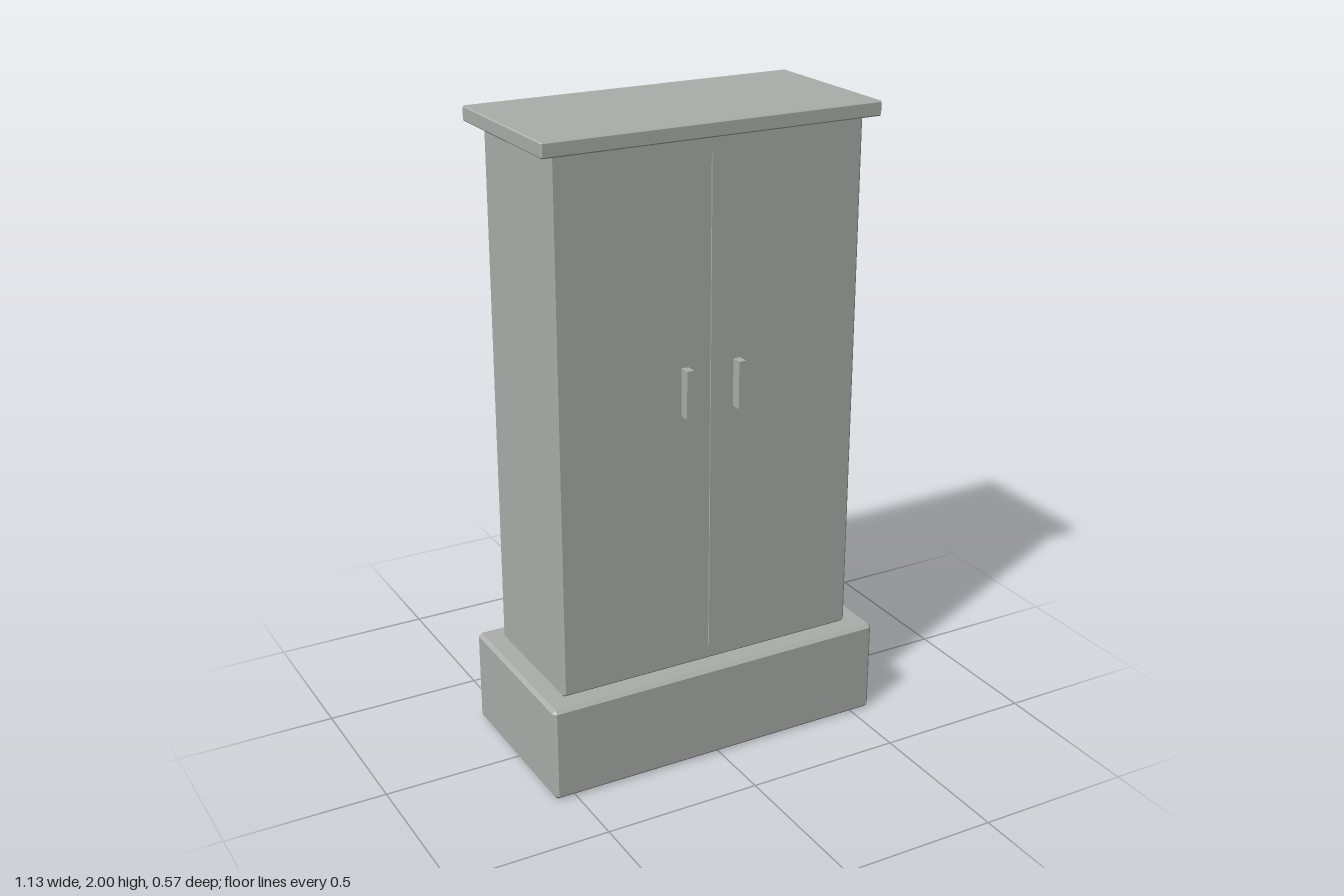
import * as THREE from 'three';
import { ConvexGeometry } from 'three/addons/geometries/ConvexGeometry.js';

// Box with flat chamfers on every edge, given by its min and max corners
function chamferedBox(min, max, c) {
  const points = [];
  const center = min.map((v, i) => (v + max[i]) / 2);
  const half = min.map((v, i) => (max[i] - v) / 2);
  for (const sx of [-1, 1]) for (const sy of [-1, 1]) for (const sz of [-1, 1]) {
    const s = [sx, sy, sz];
    // three points per corner, one on each adjoining face
    for (let face = 0; face < 3; face++) {
      points.push(new THREE.Vector3(
        ...s.map((sign, i) => center[i] + sign * (half[i] - (i === face ? 0 : c)))));
    }
  }
  return new ConvexGeometry(points);
}

export function createModel() {
  const model = new THREE.Group();
  model.name = 'cabinet';
  const paint = new THREE.MeshStandardMaterial({ color: 0xabaeaa });
  paint.name = 'grey paint';

  const add = (name, geometry) => {
    const mesh = new THREE.Mesh(geometry, paint);
    mesh.name = name;
    model.add(mesh);
    return mesh;
  };
  const box = (name, w, h, d, x, y, z) =>
    add(name, new THREE.BoxGeometry(w, h, d)).position.set(x, y, z);

  // Main volumes: plinth, body and overhanging lid
  add('plinth', chamferedBox([-0.567, 0, -0.283], [0.567, 0.306, 0.283], 0.011));
  add('body', chamferedBox([-0.505, 0.304, -0.218], [0.501, 1.957, 0.22], 0.009));
  add('lid', chamferedBox([-0.543, 1.955, -0.276], [0.541, 2, 0.252], 0.004));

  // Thin raised seam where the two doors meet
  box('doorSeam', 0.006, 1.55, 0.008, -0.004, 1.13, 0.221);

  // Door handles
  for (const side of [-1, 1]) {
    box(side < 0 ? 'rightHandle' : 'leftHandle', 0.023, 0.148, 0.034, -0.004 + side * 0.087, 1.209, 0.237);
  }

  // Mounting strips on the back
  box('upperBackStrip', 0.63, 0.073, 0.009, -0.002, 1.776, -0.2185);
  box('lowerBackStrip', 0.63, 0.073, 0.009, -0.002, 0.511, -0.2185);

  return model;
}
